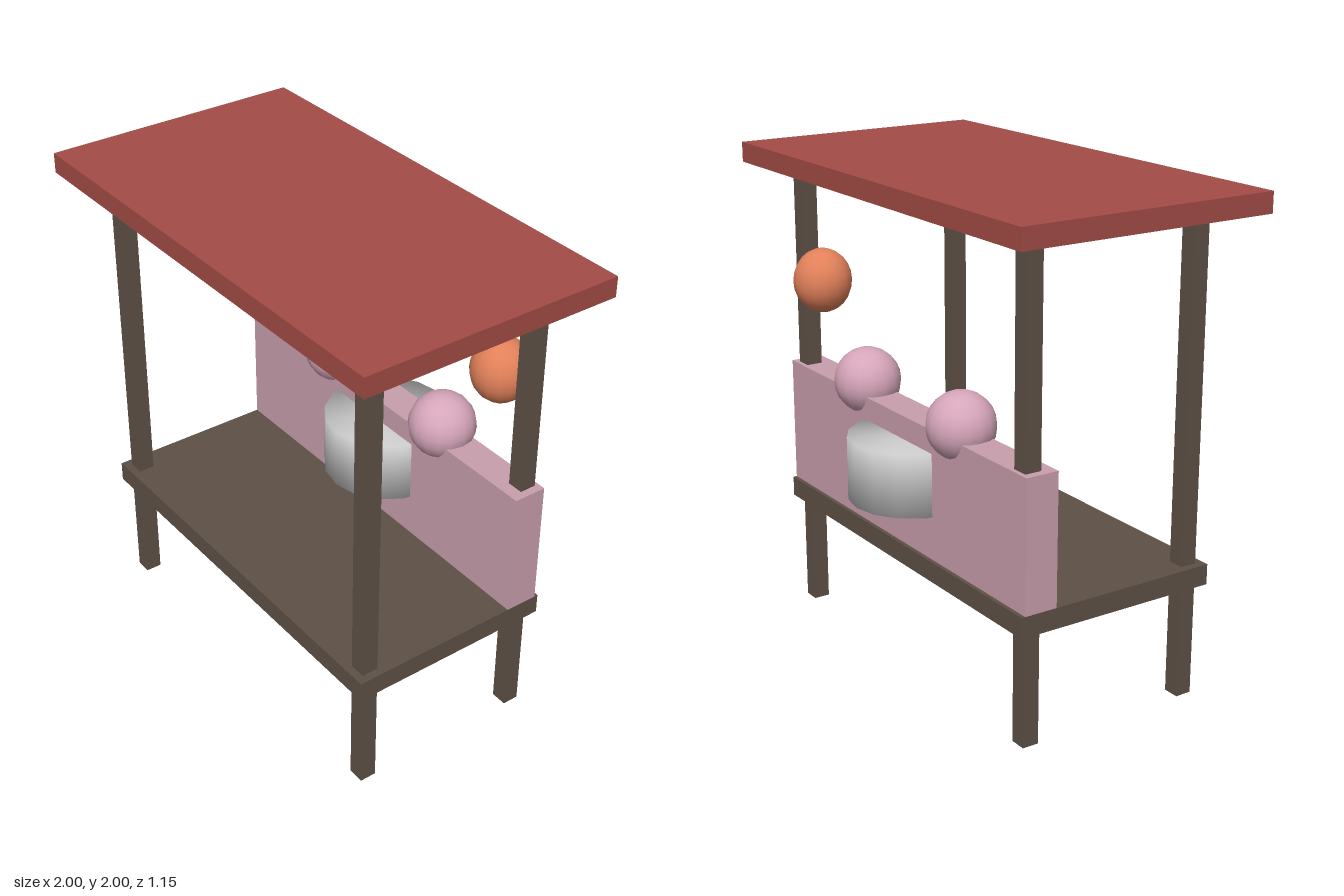
import * as THREE from 'three';
import { mergeVertices } from 'three/addons/utils/BufferGeometryUtils.js';

const mat = (color) => new THREE.MeshStandardMaterial({ color });

export function createModel() {
  const model = new THREE.Group();
  model.name = 'marketStall';
  const wood = mat(0x5e5146), red = mat(0xa34c46), pink = mat(0xc99fae);
  const rose = mat(0xd6a6ba), orange = mat(0xe2815a), grey = mat(0xcccccc);

  const add = (name, geometry, material, x, y, z) => {
    const mesh = new THREE.Mesh(geometry, material);
    mesh.name = name;
    mesh.position.set(x, y, z);
    model.add(mesh);
    return mesh;
  };

  // Box given by its lower and upper corners
  const box = (name, material, [x0, y0, z0], [x1, y1, z1]) =>
    add(name, new THREE.BoxGeometry(x1 - x0, y1 - y0, z1 - z0), material,
      (x0 + x1) / 2, (y0 + y1) / 2, (z0 + z1) / 2);

  // Roof, shelf and back panel
  box('roof', red, [-1, 1.918, -0.513], [1, 2, 0.577]);
  box('shelf', wood, [-0.865, 0.465, -0.402], [0.865, 0.548, 0.465]);
  box('backPanel', pink, [-0.865, 0.548, -0.386], [0.865, 1.075, -0.248]);

  // Four corner posts, from the ground to the roof
  const h = 0.034;
  for (const [side, x] of [['left', 0.798], ['right', -0.798]]) {
    for (const [end, z] of [['Front', 0.398], ['Back', -0.334]]) {
      box(side + end + 'Post', wood, [x - h, 0, z - h], [x + h, 1.918, z + h]);
    }
  }

  // Pair of balls resting in the top of the panel
  for (const [side, x] of [['left', 0.345], ['right', -0.345]]) {
    add(side + 'Ball', new THREE.SphereGeometry(0.136, 16, 12), rose, x, 1.11, -0.317);
  }

  // Drum through the panel, with normals blended softly over its rims
  let drum = new THREE.CylinderGeometry(0.26, 0.26, 0.257, 16);
  drum.deleteAttribute('normal');
  drum.deleteAttribute('uv');
  drum = mergeVertices(drum);
  drum.computeVertexNormals();
  add('drum', drum, grey, 0, 0.852, -0.317);

  // Hanging lantern, slightly taller than wide
  const lantern = add('lantern', new THREE.SphereGeometry(0.12, 16, 12), orange, 0.605, 1.477, -0.369);
  lantern.scale.y = 1.1;

  return model;
}
